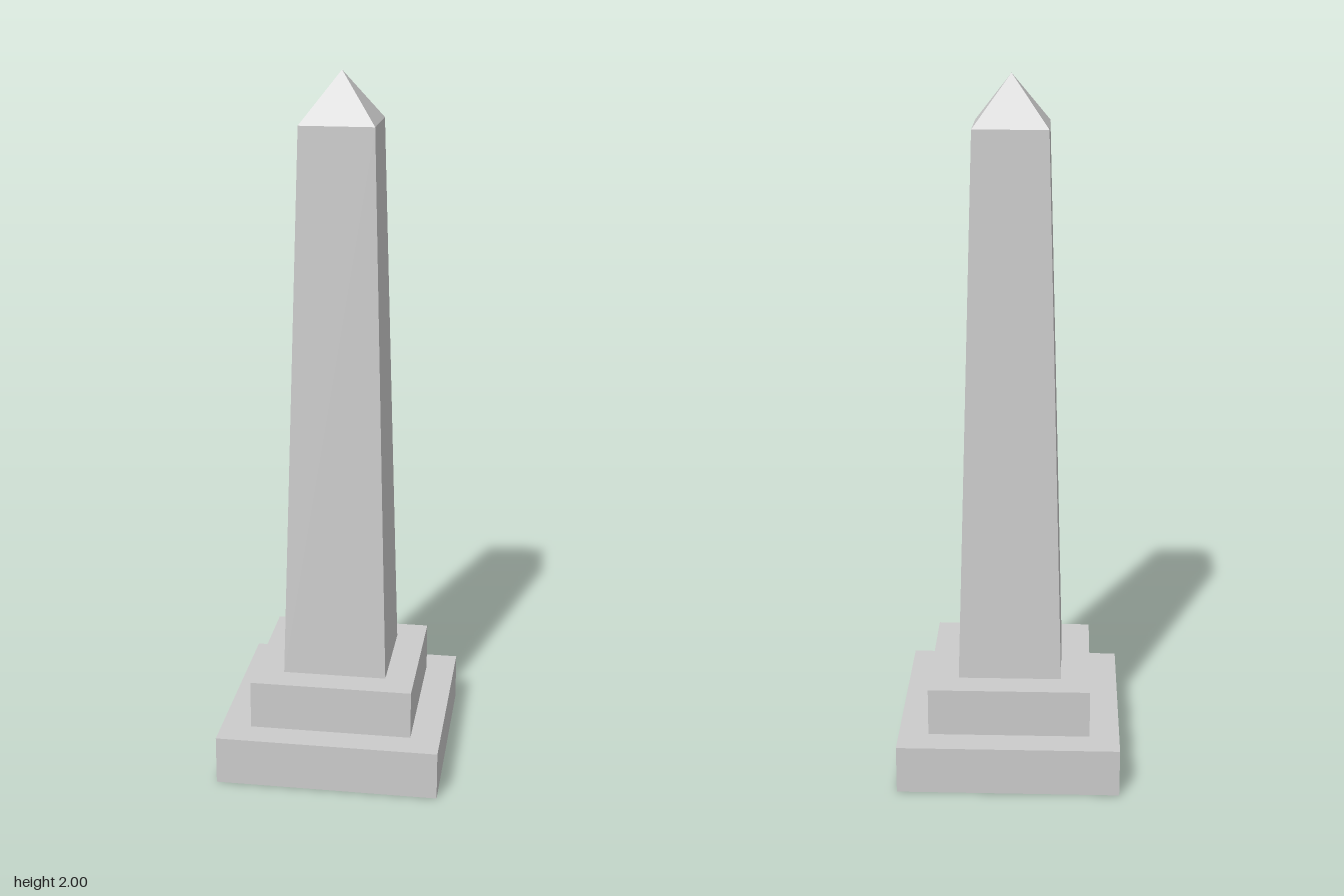
import * as THREE from 'three';

export function createModel() {
  const group = new THREE.Group();
  const material = new THREE.MeshStandardMaterial({ color: 0xcccccc, flatShading: true });

  // Square block from y0 to y1, given its half-widths at the bottom and top
  const addTier = (name, y0, y1, bottom, top, open = false) => {
    const geometry = new THREE.CylinderGeometry(top * Math.SQRT2, bottom * Math.SQRT2, y1 - y0, 4, 1, open);
    geometry.rotateY(Math.PI / 4);
    const mesh = new THREE.Mesh(geometry, material);
    mesh.name = name;
    mesh.position.y = (y0 + y1) / 2;
    group.add(mesh);
  };

  // Stepped pedestal
  addTier('lowerPlinth', 0, 0.14, 0.319, 0.319);
  addTier('upperPlinth', 0.14, 0.28, 0.233, 0.233);

  // Tapered shaft and pyramid cap, joined without inner faces
  addTier('shaft', 0.28, 1.862, 0.149, 0.104, true);
  addTier('pyramidCap', 1.862, 2, 0.104, 0, true);

  return group;
}
